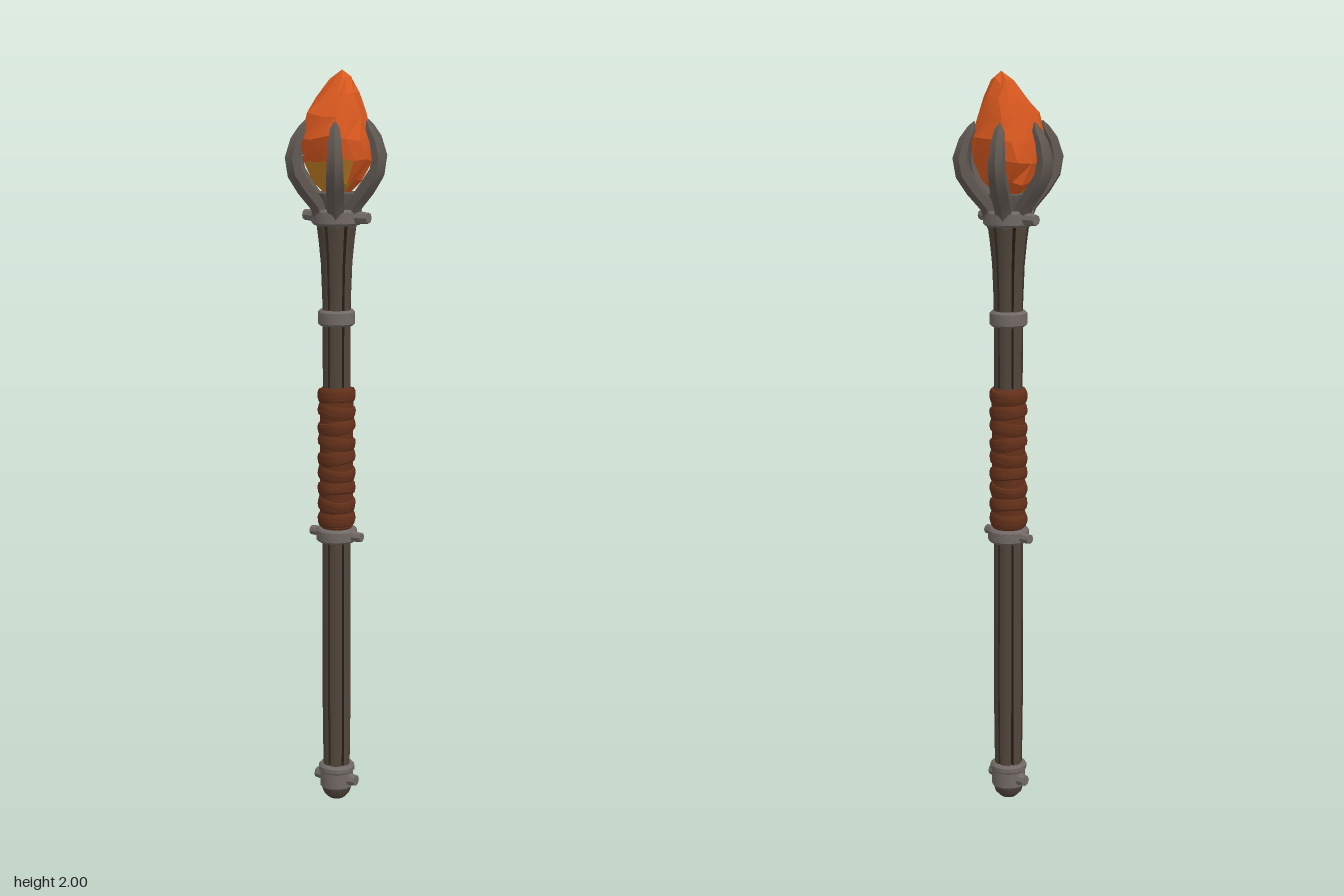
import * as THREE from 'three';
import { toCreasedNormals } from 'three/addons/utils/BufferGeometryUtils.js';

const mat = (name, color) => {
  const m = new THREE.MeshStandardMaterial({ color });
  m.name = name;
  return m;
};

// Skin a list of closed rings (each an array of Vector3), running from bottom to top.
// pick(a, b, c, column) returns the material index of a triangle.
function loft(rings, crease, pick = () => 0) {
  const sets = [[], []];
  const n = rings[0].length;
  const tri = (a, b, c, i) => {
    const area = b.clone().sub(a).cross(c.clone().sub(a)).length();
    if (area > 1e-9) sets[pick(a, b, c, i)].push(...a.toArray(), ...b.toArray(), ...c.toArray());
  };
  for (let j = 0; j < rings.length - 1; j++) {
    for (let i = 0; i < n; i++) {
      const k = (i + 1) % n;
      const a = rings[j][i], b = rings[j][k], c = rings[j + 1][i], d = rings[j + 1][k];
      tri(a, c, b, i);
      tri(b, c, d, i);
    }
  }
  const geo = new THREE.BufferGeometry();
  geo.setAttribute('position', new THREE.Float32BufferAttribute([...sets[0], ...sets[1]], 3));
  geo.computeVertexNormals();
  const out = toCreasedNormals(geo, crease);
  out.clearGroups();
  out.addGroup(0, sets[0].length / 3, 0);
  out.addGroup(sets[0].length / 3, sets[1].length / 3, 1);
  return out;
}

function lathe(points, sides, crease = 0.5) {
  const geo = new THREE.LatheGeometry(points.map(([r, y]) => new THREE.Vector2(r, y)), sides);
  return toCreasedNormals(geo, crease);
}

export function createModel() {
  const wood = mat('dark wood', 0x50463b);
  const groove = mat('groove brown', 0x2c2119);
  const horn = mat('claw grey', 0x5f5751);
  const iron = mat('iron', 0x716965);
  const leather = mat('leather', 0x63301a);
  const crystalMat = mat('orange crystal', 0xd9581f);
  const amber = mat('amber', 0xc17f22);

  const model = new THREE.Group();
  model.name = 'staff';
  const add = (name, geo, material, parent = model) => {
    const mesh = new THREE.Mesh(geo, material);
    mesh.name = name;
    parent.add(mesh);
    return mesh;
  };

  // Shaft: six strands with narrow grooves, flaring at the top
  const strand = [[-30, 0.76], [-25, 0.97], [-10, 1.01], [10, 1.01], [25, 0.97]];
  const shaftRings = [[0.05, 0.037], [0.3, 0.04], [0.7, 0.039], [1.2, 0.038], [1.4, 0.039],
    [1.5, 0.043], [1.56, 0.049], [1.63, 0.058]].map(([y, r]) => {
    const ring = [];
    for (let s = 0; s < 6; s++) {
      for (const [deg, k] of strand) {
        const t = THREE.MathUtils.degToRad(s * 60 + deg);
        ring.push(new THREE.Vector3(r * k * Math.cos(t), y, r * k * Math.sin(t)));
      }
    }
    return ring;
  });
  add('shaft', loft(shaftRings, 0.6, (a, b, c, i) => (i % 5 === 0 || i % 5 === 4 ? 1 : 0)), [wood, groove]);

  // Leather grip: a sleeve with wraps tilted to alternate sides
  add('gripSleeve', lathe([[0.036, 0.775], [0.045, 0.785], [0.045, 1.16], [0.036, 1.17]], 14), leather);
  const wraps = 9;
  for (let i = 0; i < wraps; i++) {
    const h = 0.02;
    const wrap = add('gripWrap', lathe([[0.04, -h], [0.048, -h * 0.8], [0.0515, -h * 0.2],
      [0.051, h * 0.5], [0.047, h * 0.95], [0.04, h]], 14), leather);
    wrap.position.y = 0.805 + i * 0.0425;
    wrap.rotation.set(0.16 * Math.sin(i * 2.3), 0, (i % 2 ? -1 : 1) * (i === 0 || i === wraps - 1 ? 0.08 : 0.2));
  }

  // Iron collars, some with a stud on each side
  const collar = (name, y, r, h, studReach, studR) => {
    const group = new THREE.Group();
    group.name = name;
    group.position.y = y;
    model.add(group);
    const b = 0.006;
    add('band', lathe([[r * 0.6, -h], [r - b, -h], [r, -h + b], [r, h - b], [r - b, h], [r * 0.6, h]], 16), iron, group);
    if (!studReach) return;
    for (const side of [-1, 1]) {
      const len = studReach - r + 0.02;
      const stud = add('stud', toCreasedNormals(new THREE.CylinderGeometry(studR * 0.75, studR, len, 8), 0.5), iron, group);
      stud.rotation.z = -side * Math.PI / 2;
      stud.position.x = side * (studReach - len / 2);
    }
  };
  collar('gripCollar', 0.762, 0.056, 0.019, 0.08, 0.017);
  collar('middleCollar', 1.355, 0.05, 0.021);
  collar('topCollar', 1.622, 0.067, 0.021, 0.099, 0.019);
  collar('footCollar', 0.062, 0.046, 0.028, 0.064, 0.02);
  collar('footRim', 0.092, 0.05, 0.012);
  add('footTip', lathe([[0, 0], [0.022, 0.004], [0.036, 0.018], [0.042, 0.036], [0.03, 0.042]], 12), wood);

  // Cup that the claws grow out of
  add('clawCup', lathe([[0.04, 1.62], [0.052, 1.65], [0.06, 1.685], [0, 1.69]], 12), horn);

  // Claws: hexagonal sections along a curve; [radius, y, radial half, side half]
  const path = [[0.04, 1.6, 0.018, 0.022], [0.057, 1.655, 0.022, 0.026], [0.095, 1.7, 0.023, 0.027],
    [0.122, 1.738, 0.022, 0.025], [0.13, 1.778, 0.021, 0.023], [0.118, 1.822, 0.017, 0.019],
    [0.1, 1.853, 0.012, 0.014], [0.092, 1.872, 0.002, 0.002]];
  const clawRings = path.map(([r, y, a, b], i) => {
    const p = path[Math.max(i - 1, 0)], q = path[Math.min(i + 1, path.length - 1)];
    const t = new THREE.Vector2(q[0] - p[0], q[1] - p[1]).normalize();
    return Array.from({ length: 6 }, (_, k) => {
      const u = k * Math.PI / 3;
      return new THREE.Vector3(r + t.y * a * Math.cos(u), y - t.x * a * Math.cos(u), b * Math.sin(u));
    });
  });
  const clawGeo = loft(clawRings, 0.7);
  for (let i = 0; i < 6; i++) add('claw', clawGeo, horn).rotation.y = i * Math.PI / 3;

  // Crystal: chipped, squarish rings; [y, half width, front depth, back depth]
  let seed = 7;
  const rand = () => (seed = (seed * 16807) % 2147483647) / 2147483647 - 0.5;
  const sides = 12;
  const sections = [[1.67, 0.02, 0.02, 0.02], [1.715, 0.066, 0.05, 0.058], [1.77, 0.088, 0.075, 0.083],
    [1.83, 0.087, 0.092, 0.09], [1.885, 0.073, 0.077, 0.077], [1.935, 0.055, 0.045, 0.064],
    [1.975, 0.03, 0.004, 0.05], [2, 0, -0.027, 0.027]];
  const crystalRings = sections.map(([y, w, front, back], j) => {
    const end = j === 0 || j === sections.length - 1;
    return Array.from({ length: sides }, (_, i) => {
      const t = (i + (j % 2) * 0.35) / sides * Math.PI * 2;
      const soft = (v) => Math.sign(v) * Math.pow(Math.abs(v), 0.75);
      const k = end ? 1 : 1 + rand() * 0.1;
      const z = (front - back) / 2 + (front + back) / 2 * soft(Math.sin(t)) * k;
      return new THREE.Vector3(w * soft(Math.cos(t)) * k, y + (end ? 0 : rand() * 0.018), z);
    });
  });
  const lowFront = (a, b, c) => {
    const m = a.clone().add(b).add(c).divideScalar(3);
    return m.y < 1.785 && m.z > 0.01 && Math.abs(m.x) < 0.055 ? 1 : 0;
  };
  add('crystal', loft(crystalRings, 0.3, lowFront), [crystalMat, amber]);

  return model;
}
